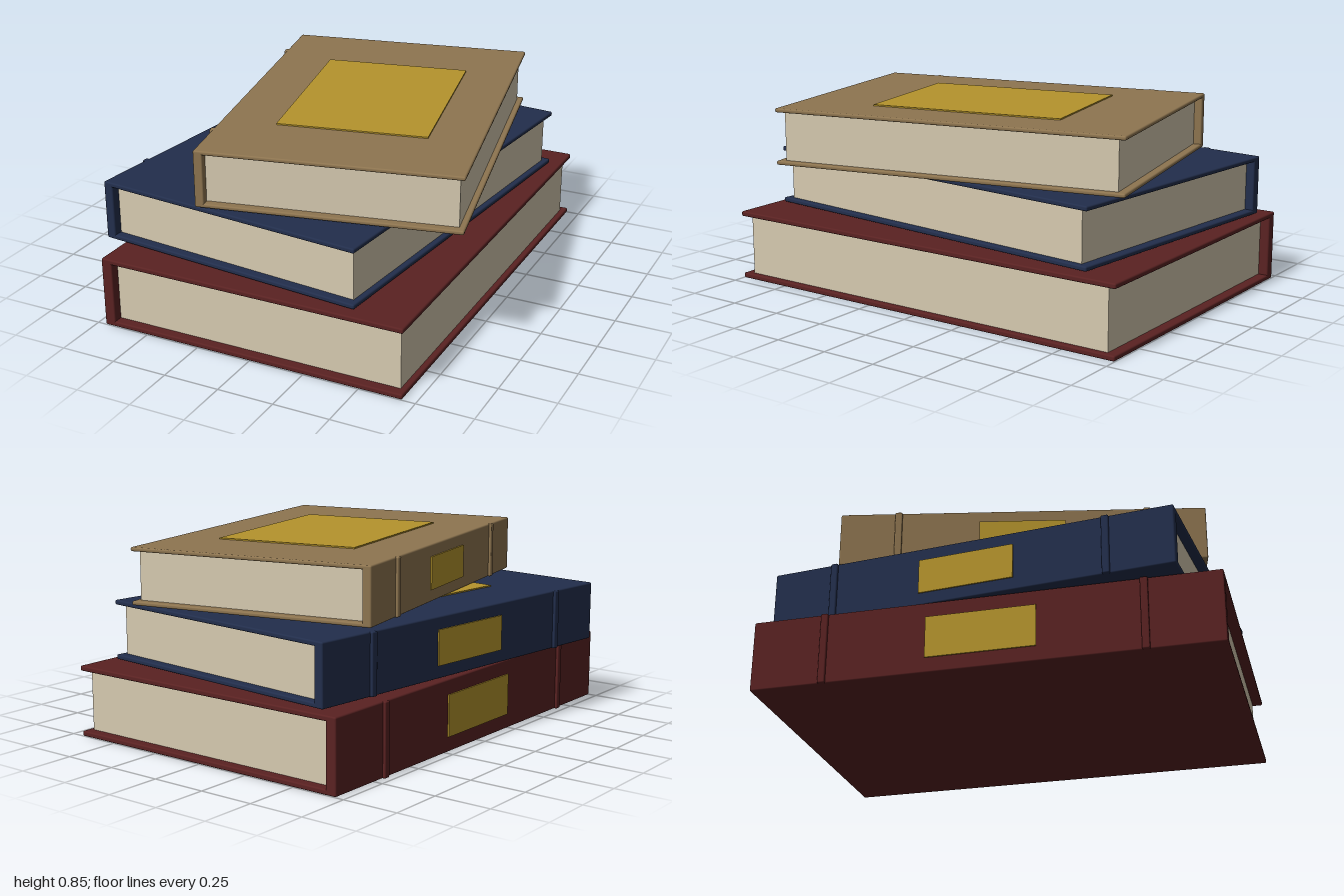
import * as THREE from 'three';
import { RoundedBoxGeometry } from 'three/addons/geometries/RoundedBoxGeometry.js';

const mat = (name, color) => {
  const m = new THREE.MeshStandardMaterial({ color });
  m.name = name;
  return m;
};

export function createModel() {
  const paper = mat('cream paper', 0xd6cab0);
  const gold = mat('gold', 0xb5942c);

  // One closed book lying flat, spine towards -x, resting on y = 0
  function book({ name, w, h, d, cover, spine, margin, material }) {
    const group = new THREE.Group();
    group.name = name;
    const add = (part, geometry, m, x, y, z = 0) => {
      const mesh = new THREE.Mesh(geometry, m);
      mesh.name = part;
      mesh.position.set(x, y, z);
      group.add(mesh);
    };
    const left = -w / 2;

    // Boards
    add('bottomCover', new RoundedBoxGeometry(w, cover, d, 2, 0.007), material, 0, cover / 2);
    add('topCover', new RoundedBoxGeometry(w, cover, d, 2, 0.007), material, 0, h - cover / 2);

    // Spine with two raised bands
    add('spine', new RoundedBoxGeometry(spine, h, d, 2, 0.007), material, left + spine / 2, h / 2);
    for (const side of [-1, 1]) {
      add('spineBand', new RoundedBoxGeometry(0.024, h, 0.032, 2, 0.006), material,
        left, h / 2, side * 0.34 * d);
    }

    // Page block, set back from the cover edges
    const pageW = w - spine - 0.025;
    add('pages', new THREE.BoxGeometry(pageW, h - 2 * cover, d - 2 * margin), paper,
      left + spine + pageW / 2, h / 2);

    // Gold panels on the spine and the front cover
    add('spineLabel', new THREE.BoxGeometry(0.008, h * 0.58, d * 0.235), gold, left - 0.002, h / 2);
    add('coverPanel', new THREE.BoxGeometry(w * 0.583, 0.008, d * 0.546), gold, 0.01, h + 0.002);
    return group;
  }

  const stack = new THREE.Group();
  stack.name = 'bookStack';
  const place = (b, x, y, z, turn) => {
    b.position.set(x, y, z);
    b.rotation.y = turn;
    stack.add(b);
  };

  place(book({
    name: 'bottomBook', w: 1.404, h: 0.316, d: 2, cover: 0.023, spine: 0.05,
    margin: 0.044, material: mat('dark red cloth', 0x5a2222),
  }), -0.01, 0, 0, 0);

  place(book({
    name: 'middleBook', w: 1.264, h: 0.265, d: 1.795, cover: 0.021, spine: 0.045,
    margin: 0.04, material: mat('navy cloth', 0x222e4c),
  }), -0.08, 0.322, -0.004, -0.102);

  place(book({
    name: 'topBook', w: 1.12, h: 0.25, d: 1.6, cover: 0.018, spine: 0.04,
    margin: 0.036, material: mat('tan cloth', 0x8e7550),
  }), 0.084, 0.594, -0.002, 0.21);

  return stack;
}
